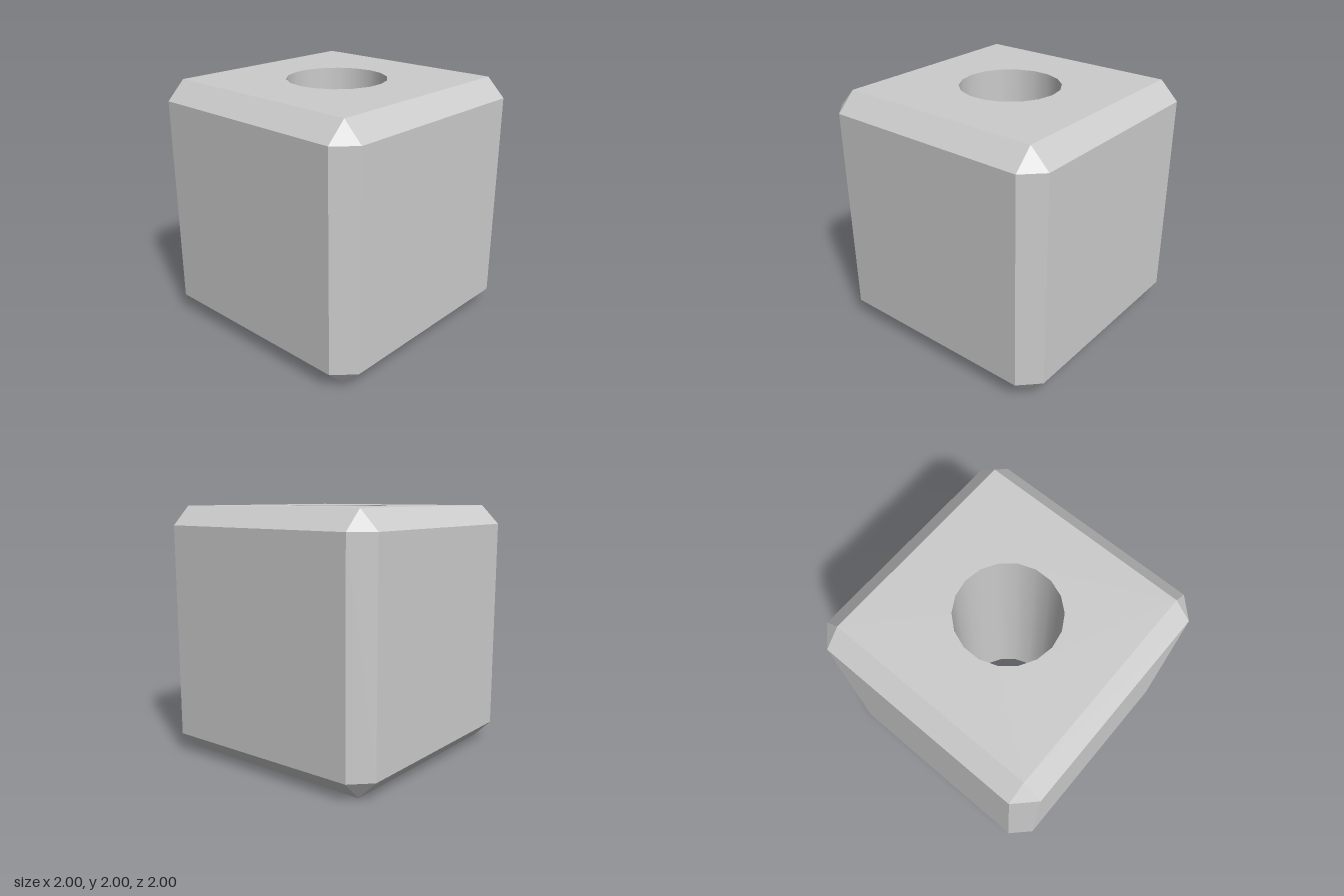
import * as THREE from 'three';

const R = 1, C = 0.85, BORE = 0.4, SIDES = 18;

// Octagon outline at height y; r = C collapses its corners into a square
function ring(r, y) {
  return [[1, 1], [-1, 1], [-1, -1], [1, -1]].flatMap(([sx, sz]) => {
    const a = new THREE.Vector3(sx * r, y, sz * C);
    const b = new THREE.Vector3(sx * C, y, sz * r);
    return sx === sz ? [a, b] : [b, a];
  });
}

// Flat-sided skin through successive rings, skipping collapsed triangles
function loft(rings) {
  const points = [];
  const tri = (a, b, c) => {
    if (!a.equals(b) && !b.equals(c) && !c.equals(a)) points.push(a, b, c);
  };
  for (let k = 0; k < rings.length - 1; k++) {
    const lo = rings[k], hi = rings[k + 1];
    lo.forEach((p, i) => {
      const j = (i + 1) % lo.length;
      tri(p, hi[i], hi[j]);
      tri(p, hi[j], lo[j]);
    });
  }
  const geometry = new THREE.BufferGeometry().setFromPoints(points);
  geometry.computeVertexNormals();
  return geometry;
}

export function createModel() {
  const group = new THREE.Group();
  group.name = 'chamferedCubeBead';
  const material = new THREE.MeshStandardMaterial({ color: 0xcccccc });
  const add = (name, geometry) => {
    const mesh = new THREE.Mesh(geometry, material);
    mesh.name = name;
    group.add(mesh);
    return mesh;
  };

  // Four walls with chamfered edges and triangular corners
  add('chamferedWalls', loft([ring(C, 0), ring(R, R - C), ring(R, 1 + C), ring(C, 2)]));

  // Square end faces pierced by the bore
  const square = new THREE.Shape([[-C, -C], [C, -C], [C, C], [-C, C]].map(([x, y]) => new THREE.Vector2(x, y)));
  square.holes.push(new THREE.Path().absarc(0, 0, BORE, 0, Math.PI * 2, true));
  const face = new THREE.ShapeGeometry(square, SIDES / 2);
  add('topFace', face.clone().rotateX(-Math.PI / 2).translate(0, 2, 0));
  add('bottomFace', face.clone().rotateX(Math.PI / 2));

  // Smooth bore wall, facing inward because the profile runs downward
  const profile = [new THREE.Vector2(BORE, 2), new THREE.Vector2(BORE, 0)];
  add('bore', new THREE.LatheGeometry(profile, SIDES, Math.PI / 2));

  return group;
}
